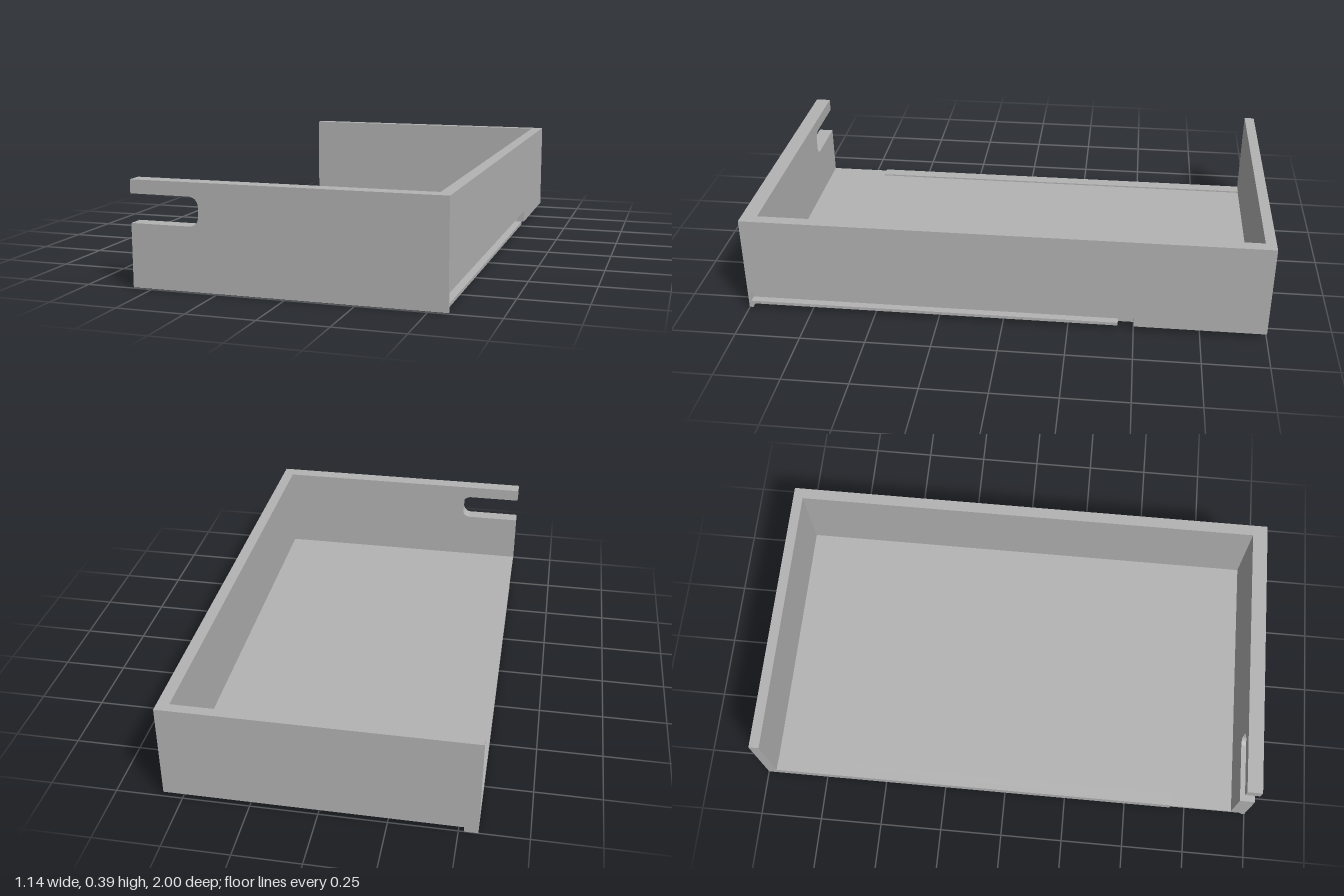
import * as THREE from 'three';

export function createModel() {
  const group = new THREE.Group();
  group.name = 'tray';
  const grey = new THREE.MeshStandardMaterial({ color: 0xb3b3b3 });
  grey.name = 'grey';

  const X = 0.57, H = 0.39, BASE = 0.02, IN = 0.525, GROOVE = 0.54;

  // Box given by its limits on each axis
  const block = (name, x0, x1, y0, y1, z0, z1) => {
    const mesh = new THREE.Mesh(new THREE.BoxGeometry(x1 - x0, y1 - y0, z1 - z0), grey);
    mesh.position.set((x0 + x1) / 2, (y0 + y1) / 2, (z0 + z1) / 2);
    mesh.name = name;
    group.add(mesh);
  };

  // Front wall outline with the open rounded slot, optionally notched for the side groove
  const frontWall = (name, z0, z1, notched) => {
    const s = new THREE.Shape();
    const r = 0.035, end = -0.313, lo = 0.235, hi = 0.34;
    s.moveTo(-X, BASE);
    if (notched) {
      s.lineTo(X, BASE);
      s.lineTo(X, 0.032);
      s.lineTo(GROOVE, 0.032);
      s.lineTo(GROOVE, 0.07);
      s.lineTo(X, 0.07);
    } else {
      s.lineTo(X, BASE);
    }
    s.lineTo(X, H);
    s.lineTo(-X, H);
    s.lineTo(-X, hi);
    s.lineTo(end - r, hi);
    s.absarc(end - r, hi - r, r, Math.PI / 2, 0, true);
    s.lineTo(end, lo + r);
    s.absarc(end - r, lo + r, r, 0, -Math.PI / 2, true);
    s.lineTo(-X, lo);
    s.closePath();
    const geo = new THREE.ExtrudeGeometry(s, { depth: z1 - z0, bevelEnabled: false, curveSegments: 10 });
    const mesh = new THREE.Mesh(geo, grey);
    mesh.position.z = z0;
    mesh.name = name;
    group.add(mesh);
  };

  // Floor and walls
  block('floor', -X, IN, BASE, 0.035, -0.96, 0.94);
  block('backWall', -X, X, BASE, H, -1, -0.96);
  frontWall('frontWall', 0.94, 0.99, true);
  frontWall('frontWallFace', 0.99, 1, false);
  block('frontLip', -X, X, 0.003, BASE, 0.985, 1);

  // Side wall with a long groove and ledge near its bottom
  block('sideWall', IN, X, 0.07, H, -0.96, 0.94);
  block('sideWallGrooveBack', IN, GROOVE, BASE, 0.07, -0.5, 0.94);
  block('sideWallFoot', IN, X, BASE, 0.07, -0.96, -0.5);
  block('grooveLedge', GROOVE, X, BASE, 0.032, -0.44, 0.94);

  // Rail along the open side, hanging below the floor and slightly raised above it
  block('railBottom', -X, -0.52, 0, BASE, -1, 0.69);
  block('railTop', -X, -0.52, 0.035, 0.041, -0.96, 0.69);

  return group;
}
